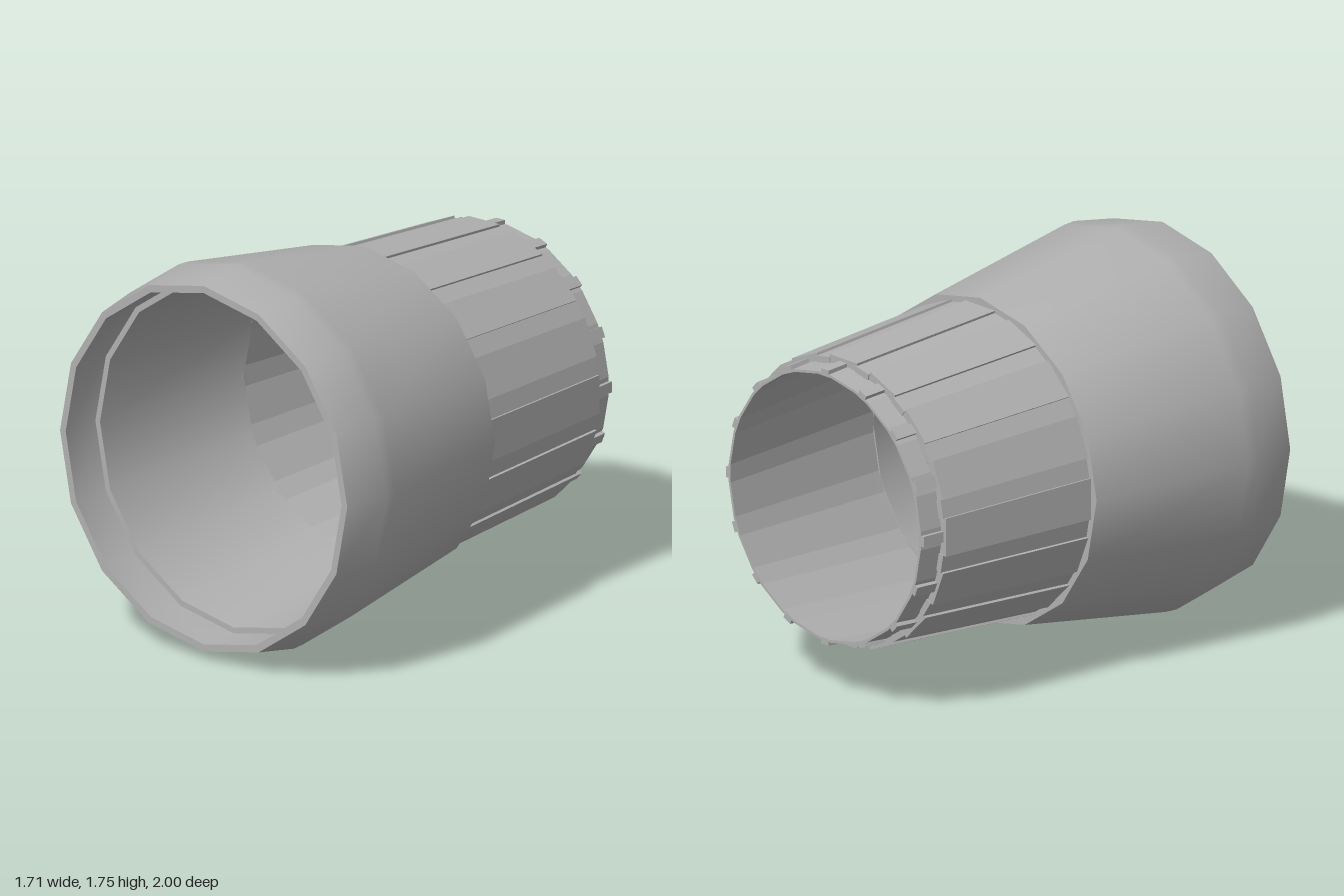
import * as THREE from 'three';
import { toCreasedNormals } from 'three/addons/utils/BufferGeometryUtils.js';

const COUNT = 16;
const STEP = (Math.PI * 2) / COUNT;
const DEG = Math.PI / 180;

// Flat tapered plate spanning an angle; front and back are [innerRadius, outerRadius, z]
function plateGeometry(centre, halfWidth, front, back) {
  const geometry = new THREE.BoxGeometry(1, 1, 1);
  const pos = geometry.attributes.position;
  for (let i = 0; i < pos.count; i++) {
    const end = pos.getZ(i) > 0 ? front : back;
    const radius = pos.getY(i) > 0 ? end[1] : end[0];
    const angle = centre + 2 * pos.getX(i) * halfWidth;
    pos.setXYZ(i, radius * Math.sin(angle), radius * Math.cos(angle), end[2]);
  }
  geometry.computeVertexNormals();
  return geometry;
}

export function createModel() {
  const model = new THREE.Group();
  model.name = 'exhaustNozzle';
  const metal = new THREE.MeshStandardMaterial({ color: 0xb0b0b0 });
  metal.name = 'grey metal';

  const nozzle = new THREE.Group();
  nozzle.name = 'nozzle';
  nozzle.position.y = 0.877;
  model.add(nozzle);

  // Hollow housing: outer skin, front lip, inner step and inner wall
  const profile = [
    [0.685, -0.08], [0.745, -0.08], [0.874, 0.72], [0.877, 0.78], [0.838, 1],
    [0.805, 1], [0.805, 0.8], [0.778, 0.8], [0.685, -0.08],
  ].map(([r, z]) => new THREE.Vector2(r, z));
  const shell = new THREE.LatheGeometry(profile, COUNT).rotateX(Math.PI / 2);
  // The housing narrows slightly sideways toward the front
  const pos = shell.attributes.position;
  for (let i = 0; i < pos.count; i++) {
    const t = THREE.MathUtils.clamp((pos.getZ(i) + 0.08) / 0.8, 0, 1);
    pos.setX(i, pos.getX(i) * (1 - 0.025 * t));
  }
  const housing = new THREE.Mesh(toCreasedNormals(shell, 0.7), metal);
  housing.name = 'housing';
  nozzle.add(housing);

  // Rings of plates: name, angle offset, half width, front end, back end
  const rings = [
    ['innerSleeveStrip', 0, 4 * DEG, [0.686, 0.694, -0.07], [0.604, 0.616, -1]],
    ['innerSleevePanel', STEP / 2, 7.25 * DEG, [0.686, 0.694, -0.07], [0.604, 0.616, -1]],
    ['outerPetal', 0, 7.6 * DEG, [0.69, 0.716, -0.07], [0.625, 0.662, -0.89]],
    ['recessedPetal', STEP / 2, 3.8 * DEG, [0.69, 0.705, -0.07], [0.62, 0.65, -0.895]],
    ['endPeg', 0, 2.2 * DEG, [0.615, 0.642, -0.88], [0.61, 0.634, -1]],
  ];
  for (const [name, offset, halfWidth, front, back] of rings) {
    const ring = new THREE.Group();
    ring.name = name + 's';
    for (let i = 0; i < COUNT; i++) {
      const plate = new THREE.Mesh(plateGeometry(i * STEP + offset, halfWidth, front, back), metal);
      plate.name = name;
      ring.add(plate);
    }
    nozzle.add(ring);
  }
  return model;
}
